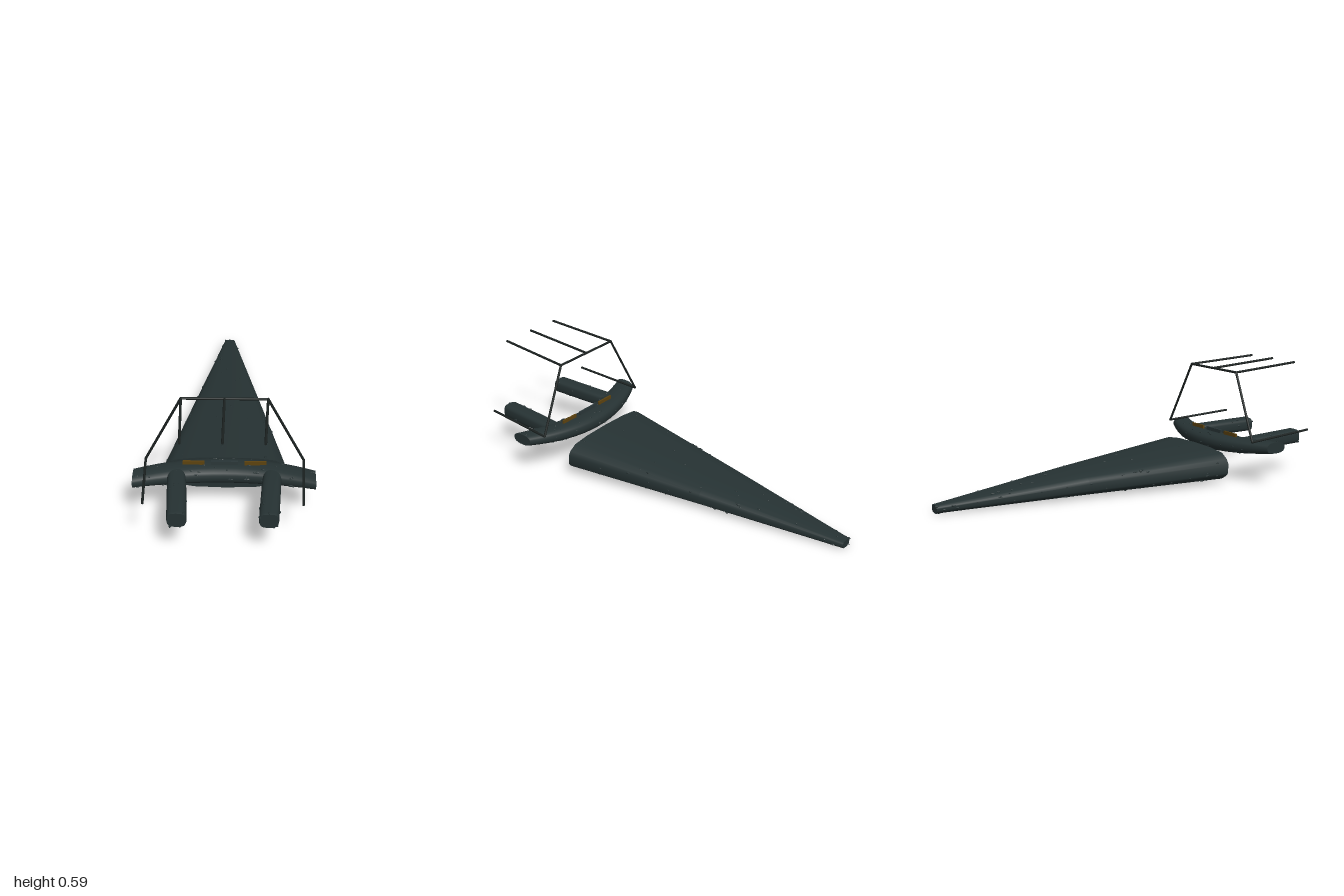
import * as THREE from 'three';
import { mergeGeometries } from 'three/addons/utils/BufferGeometryUtils.js';

const material = (name, color) => {
  const m = new THREE.MeshStandardMaterial({ color });
  m.name = name;
  return m;
};

// Closed counter-clockwise outline in units of half width and half height
const mirrored = (half) => [...half, ...half.slice(1, -1).reverse().map(([u, v]) => [-u, v])];
const hullOutline = mirrored([
  [0, -1], [0.5, -0.94], [0.82, -0.74], [0.95, -0.47], [1, -0.28],
  [1, 0.3], [0.95, 0.55], [0.82, 0.83], [0.5, 0.96], [0, 1],
]);
const superEllipse = (power, n = 24) => Array.from({ length: n }, (_, i) => {
  const a = (i / n) * Math.PI * 2 - Math.PI / 2;
  const f = (t) => Math.sign(t) * Math.abs(t) ** (2 / power);
  return [f(Math.cos(a)), f(Math.sin(a))];
});

// Station: { c: centre, a: half width, b: half height }; sections face along x or z
const sectionPoint = (s, [u, v], axis) => (axis === 'z'
  ? [s.c[0] + s.a * u, s.c[1] + s.b * v, s.c[2]]
  : [s.c[0], s.c[1] + s.b * v, s.c[2] - s.a * u]);

function loft(stations, outline, axis) {
  const n = outline.length, pos = [], index = [];
  stations.forEach((s) => outline.forEach((p) => pos.push(...sectionPoint(s, p, axis))));
  for (let s = 0; s < stations.length - 1; s++) {
    for (let j = 0; j < n; j++) {
      const k = (j + 1) % n, a = s * n + j, b = s * n + k;
      index.push(a, b, b + n, a, b + n, a + n);
    }
  }
  // Flat caps with their own vertices
  [stations[0], stations[stations.length - 1]].forEach((s, end) => {
    const base = pos.length / 3;
    pos.push(...s.c);
    outline.forEach((p) => pos.push(...sectionPoint(s, p, axis)));
    for (let j = 0; j < n; j++) {
      const a = base + 1 + j, b = base + 1 + ((j + 1) % n);
      index.push(base, ...(end ? [a, b] : [b, a]));
    }
  });
  const g = new THREE.BufferGeometry();
  g.setAttribute('position', new THREE.Float32BufferAttribute(pos, 3));
  g.setIndex(index);
  g.computeVertexNormals();
  return g;
}

// Small seeded flakes scattered over a lofted surface
let seed = 7;
const random = () => {
  seed = (seed * 16807) % 2147483647;
  return seed / 2147483647;
};
function flakes(stations, outline, axis, count) {
  const parts = [];
  for (let i = 0; i < count; i++) {
    const t = random() * (stations.length - 1), s = Math.floor(t);
    const p = outline[Math.floor(random() * outline.length)];
    const q = outline[(outline.indexOf(p) + 1) % outline.length];
    const w = random(), uv = [p[0] + (q[0] - p[0]) * w, p[1] + (q[1] - p[1]) * w];
    const at = new THREE.Vector3(...sectionPoint(stations[s], uv, axis))
      .lerp(new THREE.Vector3(...sectionPoint(stations[s + 1], uv, axis)), t - s);
    const g = new THREE.IcosahedronGeometry(1, 0);
    const r = 0.003 + random() * 0.003, long = r * (1 + random() * 2);
    g.scale(axis === 'x' ? long : r, r * 0.8, axis === 'z' ? long : r);
    parts.push(g.translate(at.x, at.y, at.z));
  }
  return mergeGeometries(parts);
}

export function createModel() {
  const model = new THREE.Group();
  model.name = 'wedgeCraft';
  const hull = material('dark teal hull', 0x263233);
  const pole = material('near black pole', 0x1b2120);
  const amber = material('amber panel', 0x5e430f);
  const slate = material('slate panel', 0x2b3739);
  const add = (name, geometry, mat) => {
    const mesh = new THREE.Mesh(geometry, mat);
    mesh.name = name;
    model.add(mesh);
    return mesh;
  };

  // Long tapering wedge
  const wedge = [
    { c: [0, 0.05, -1], a: 0.03, b: 0.02 },
    { c: [0, 0.0865, -0.26], a: 0.161, b: 0.0555 },
    { c: [0, 0.116, 0.48], a: 0.293, b: 0.086 },
  ];
  add('wedge', loft(wedge, hullOutline, 'z'), hull);
  add('wedgeFlakes', flakes(wedge, hullOutline, 'z', 90), hull);

  // Crossbeam bowed forward at both ends
  const beam = [];
  for (let i = 0; i <= 16; i++) {
    const k = i / 8 - 1, q = k * k;
    beam.push({
      c: [k * 0.415, 0.204 + 0.018 * q, 0.59 + 0.098 * q],
      a: 0.07 - 0.013 * q, b: 0.043 - 0.014 * q,
    });
  }
  const beamOutline = superEllipse(2.5);
  add('crossbeam', loft(beam, beamOutline, 'x'), hull);
  add('crossbeamFlakes', flakes(beam, beamOutline, 'x', 60), hull);

  // A straight round rod between two points
  const rod = (name, from, to) => {
    const a = new THREE.Vector3(...from), d = new THREE.Vector3(...to).sub(a);
    const mesh = add(name, new THREE.CylinderGeometry(0.006, 0.006, d.length() + 0.006, 10), pole);
    mesh.position.copy(a).addScaledVector(d, 0.5);
    mesh.quaternion.setFromUnitVectors(new THREE.Vector3(0, 1, 0), d.normalize());
  };

  const armOutline = superEllipse(3.2);
  for (const [side, x] of [['left', 1], ['right', -1]]) {
    // Stubby forward arm
    const arm = [
      { c: [x * 0.226, 0.207, 0.57], a: 0.03, b: 0.028 },
      { c: [x * 0.225, 0.208, 0.59], a: 0.042, b: 0.036 },
      { c: [x * 0.213, 0.212, 0.75], a: 0.044, b: 0.037 },
      { c: [x * 0.2, 0.218, 0.985], a: 0.044, b: 0.038 },
      { c: [x * 0.2, 0.218, 0.997], a: 0.041, b: 0.035 },
    ];
    add(`${side}Arm`, loft(arm, armOutline, 'z'), hull);
    add(`${side}ArmFlakes`, flakes(arm, armOutline, 'z', 20), hull);

    // Frame post with its upper and lower forward rods
    const foot = [x * 0.365, 0.255, 0.574], top = [x * 0.195, 0.59, 0.595];
    rod(`${side}Post`, foot, top);
    rod(`${side}UpperRod`, top, [x * 0.178, 0.613, 0.997]);
    rod(`${side}LowerRod`, foot, [x * 0.347, 0.278, 0.955]);

    // Amber panel on the beam
    add(`${side}AmberPanel`, new THREE.BoxGeometry(0.1, 0.04, 0.009), amber)
      .position.set(x * 0.142, 0.245, 0.606);
  }
  rod('topBar', [-0.195, 0.59, 0.595], [0.195, 0.59, 0.595]);
  rod('centreUpperRod', [0, 0.59, 0.595], [0, 0.615, 0.997]);
  add('centrePanel', new THREE.BoxGeometry(0.124, 0.04, 0.009), slate).position.set(0, 0.245, 0.606);

  // Everything sits slightly to the right of the centre line
  model.children.forEach((part) => { part.position.x -= 0.007; });
  return model;
}
